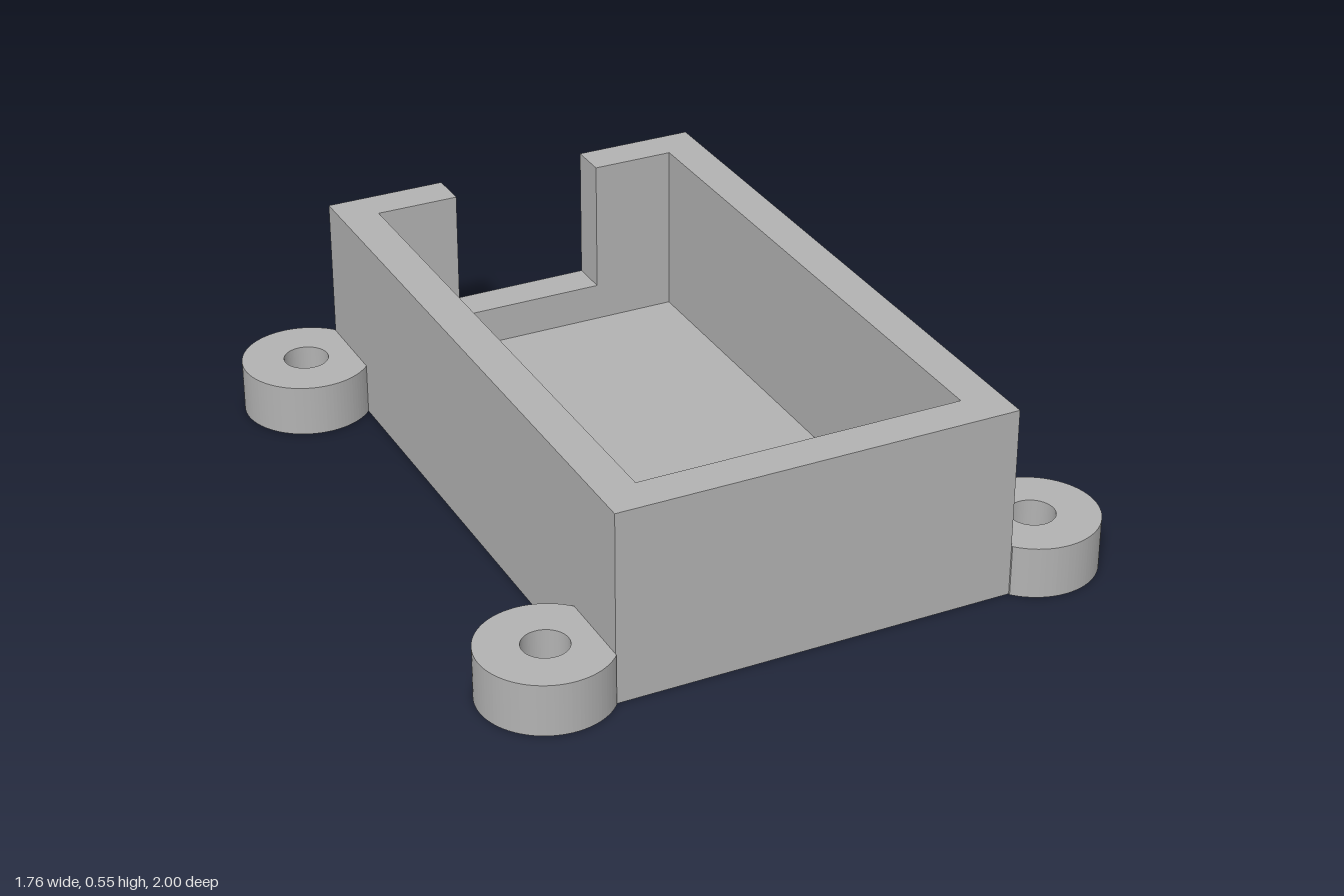
import * as THREE from 'three';

const W = 0.565, L = 0.935, H = 0.547;   // outer half width, half length, height
const IW = 0.457, IL = 0.826;            // cavity half width and half length
const FLOOR = 0.055, SILL = 0.164, NOTCH = 0.22;
const LUG = { x: 0.7, z: 0.818, r: 0.182, hole: 0.063, h: 0.147 };

const polygon = (points) => points.map(([x, y]) => new THREE.Vector2(x, y));

export function createModel() {
  const group = new THREE.Group();
  const grey = new THREE.MeshStandardMaterial({ color: 0xb2b2b2 });
  grey.name = 'plain grey';

  // Extrudes a plan outline upwards from y0 to y1; plan y points to the back (-z)
  function addLayer(name, shape, y0, y1) {
    const geometry = new THREE.ExtrudeGeometry(shape, { depth: y1 - y0, bevelEnabled: false, curveSegments: 40 });
    geometry.rotateX(-Math.PI / 2);
    geometry.translate(0, y0, 0);
    const mesh = new THREE.Mesh(geometry, grey);
    mesh.name = name;
    group.add(mesh);
    return mesh;
  }

  const rect = (w, l) => polygon([[-w, -l], [w, -l], [w, l], [-w, l]]);

  // Base plate
  addLayer('floor', new THREE.Shape(rect(W, L)), 0, FLOOR);

  // Closed rim up to the sill of the back opening
  const rim = new THREE.Shape(rect(W, L));
  rim.holes.push(new THREE.Path(rect(IW, IL)));
  addLayer('lowerWalls', rim, FLOOR, SILL);

  // Walls above the sill, open at the back
  addLayer('upperWalls', new THREE.Shape(polygon([
    [-W, -L], [W, -L], [W, L], [NOTCH, L], [NOTCH, IL], [IW, IL],
    [IW, -IL], [-IW, -IL], [-IW, IL], [-NOTCH, IL], [-NOTCH, L], [-W, L],
  ])), SILL, H);

  // Screw lugs, cut flat where they meet the box
  const cut = Math.acos((LUG.x - W) / LUG.r);
  for (const side of [1, -1]) {
    for (const end of [1, -1]) {
      const middle = side > 0 ? 0 : Math.PI;
      const shape = new THREE.Shape();
      shape.absarc(0, 0, LUG.r, middle - Math.PI + cut, middle + Math.PI - cut, false);
      shape.closePath();
      const hole = new THREE.Path();
      hole.absarc(0, 0, LUG.hole, 0, Math.PI * 2, true);
      shape.holes.push(hole);
      const name = (end > 0 ? 'front' : 'back') + (side > 0 ? 'Left' : 'Right') + 'Lug';
      const lug = addLayer(name, shape, 0, LUG.h);
      lug.position.set(side * LUG.x, 0, end * LUG.z);
    }
  }
  return group;
}
